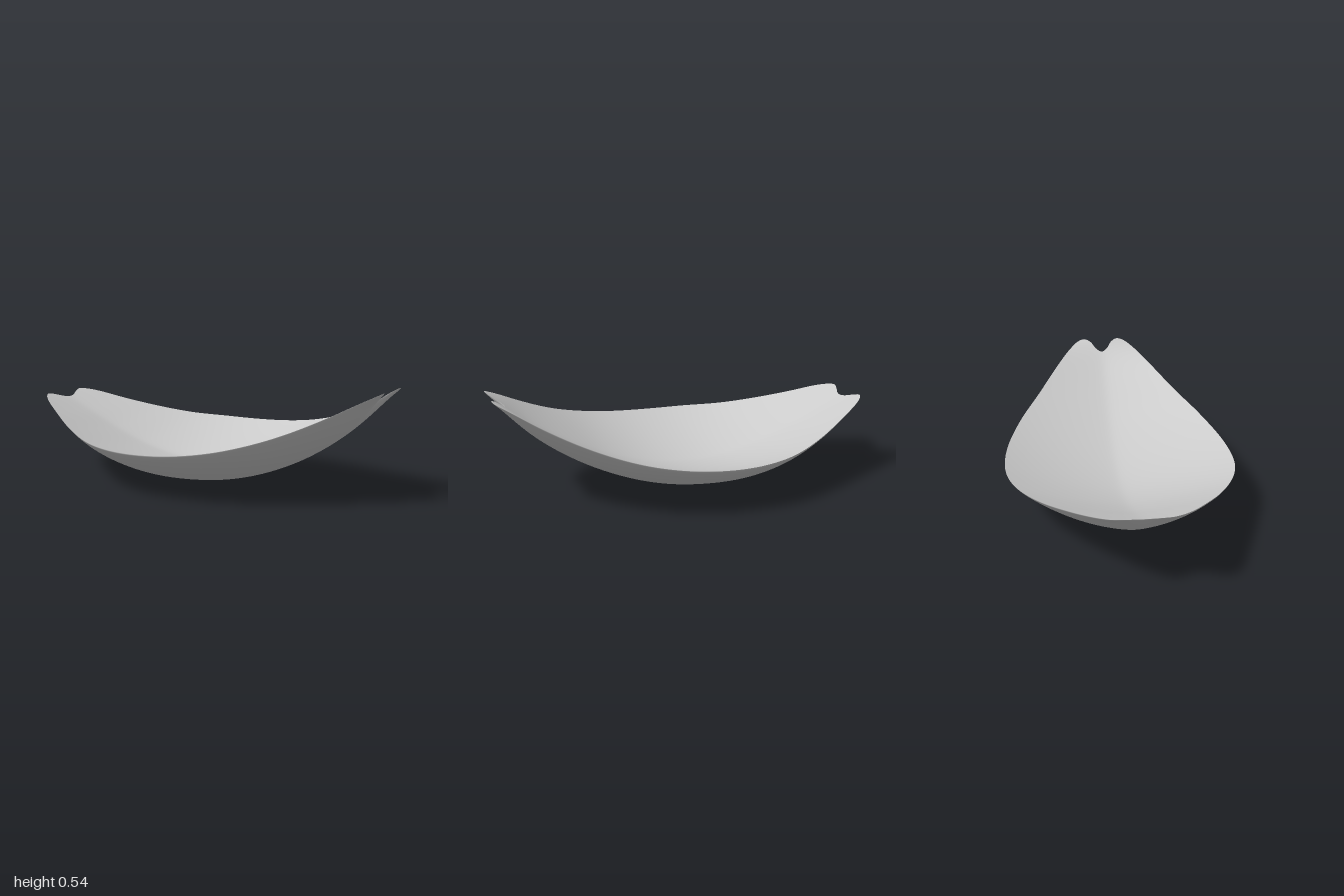
import * as THREE from 'three';

// Smooth function of x from values spaced 0.2 apart over x = -1.2 .. 1.2
function profile(values) {
  const curve = new THREE.SplineCurve(values.map((v, i) => new THREE.Vector2(-1.2 + i * 0.2, v)));
  return (x) => curve.getPoint((x + 1.2) / 2.4).y;
}

// Keel lines of both faces, rim height and half width along the length
const innerKeel = profile([0.47, 0.385, 0.298, 0.213, 0.145, 0.105, 0.1, 0.128, 0.19, 0.285, 0.402, 0.55, 0.7]);
const outerKeel = profile([0.56, 0.38, 0.226, 0.115, 0.042, 0.005, 0.004, 0.031, 0.094, 0.192, 0.332, 0.525, 0.75]);
const rim = profile([0.47, 0.40, 0.335, 0.28, 0.243, 0.232, 0.232, 0.248, 0.284, 0.346, 0.437, 0.545, 0.66]);
const halfWidth = profile([0.08, 0.17, 0.30, 0.42, 0.517, 0.582, 0.59, 0.563, 0.5, 0.40, 0.285, 0.12, 0.04]);

// Cross-section: soft V at the keel plus a bowl, 0 at the keel and 1 at the rim
function section(x, z, vee, bowl) {
  const rise = (d) => vee * (Math.sqrt(d * d + 0.0012) - 0.0346) + bowl * d * d;
  return rise(z) / rise(halfWidth(x));
}

function innerHeight(x, z) {
  const k = innerKeel(x);
  return k + (rim(x) - k) * section(x, z, 0.2, 0.3);
}

function outerHeight(x, z) {
  const k = outerKeel(x);
  return k + (rim(x) - 0.02 - k) * section(x, z, 0.09, 0.5);
}

// Half of the plan outline, from the front notch to the rear notch
const half = [
  [0.918, 0], [0.938, 0.035], [0.975, 0.062], [0.998, 0.1], [0.987, 0.138], [0.925, 0.197],
  [0.8, 0.285], [0.6, 0.40], [0.4, 0.5], [0.2, 0.563], [0.05, 0.588], [-0.1, 0.593], [-0.22, 0.58],
  [-0.32, 0.553], [-0.42, 0.512], [-0.6, 0.42], [-0.8, 0.30], [-0.92, 0.225], [-0.975, 0.175], [-1, 0.13],
  [-0.988, 0.085], [-0.967, 0.04], [-0.96, 0],
];

// Closed shell: rings run from the inner centre out to the rim and back underneath
function shellGeometry(segments, rings) {
  const mirrored = half.slice(1, -1).reverse().map(([x, z]) => [x, -z]);
  const points = [...half, ...mirrored].map(([x, z]) => new THREE.Vector3(x, 0, z));
  const outline = new THREE.CatmullRomCurve3(points, true, 'centripetal');
  const cx = -0.05;
  const last = 2 * rings;
  const bottom = 1 + (last - 1) * segments;
  const pos = [cx, innerHeight(cx, 0), 0];
  const index = [];
  const at = (k, s) => (k === 0 ? 0 : k === last ? bottom : 1 + (k - 1) * segments + (s % segments));
  for (let k = 1; k < last; k++) {
    const r = Math.sin(Math.PI * k / last);
    const under = k > rings ? Math.sqrt(1 - r ** 14) : 0;
    for (let s = 0; s < segments; s++) {
      const p = outline.getPoint(s / segments);
      const x = cx + (p.x - cx) * r;
      const z = p.z * r;
      pos.push(x, THREE.MathUtils.lerp(innerHeight(x, z), outerHeight(x, z), under), z);
    }
  }
  pos.push(cx, outerHeight(cx, 0), 0);
  for (let k = 0; k < last; k++) {
    for (let s = 0; s < segments; s++) {
      if (k < last - 1) index.push(at(k, s), at(k + 1, s + 1), at(k + 1, s));
      if (k > 0) index.push(at(k, s), at(k, s + 1), at(k + 1, s + 1));
    }
  }
  const g = new THREE.BufferGeometry();
  g.setAttribute('position', new THREE.Float32BufferAttribute(pos, 3));
  g.setIndex(index);
  g.computeVertexNormals();
  return g;
}

export function createModel() {
  const group = new THREE.Group();
  group.name = 'curvedPetal';
  // Cupped shell, thick at the keel and thin at the rim, with a notch at each end
  const material = new THREE.MeshStandardMaterial({ color: 0xcccccc });
  const shell = new THREE.Mesh(shellGeometry(264, 48), material);
  shell.name = 'petalShell';
  group.add(shell);
  return group;
}
